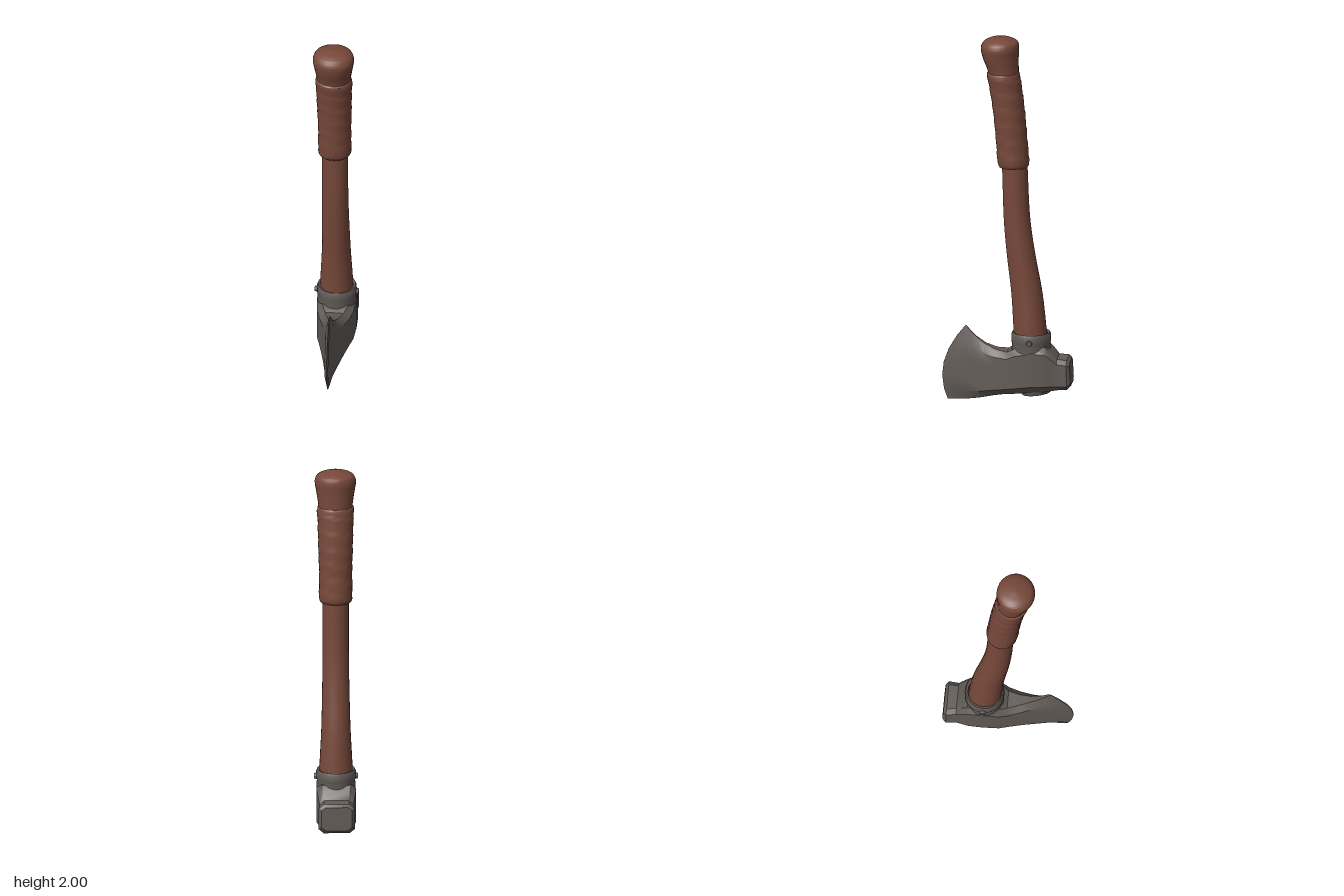
import * as THREE from 'three';
import { mergeVertices, toCreasedNormals } from 'three/addons/utils/BufferGeometryUtils.js';

// Skin a list of closed rings (counter-clockwise seen from the far end), with end caps
function loft(rings, crease) {
  const n = rings[0].length, pos = [], idx = [];
  rings.forEach(r => r.forEach(p => pos.push(...p)));
  for (let i = 0; i < rings.length - 1; i++) {
    for (let j = 0; j < n; j++) {
      const a = i * n + j, b = i * n + (j + 1) % n;
      idx.push(a, b, b + n, a, b + n, a + n);
    }
  }
  [0, rings.length - 1].forEach(k => {
    const c = pos.length / 3;
    pos.push(...[0, 1, 2].map(d => rings[k].reduce((s, p) => s + p[d], 0) / n));
    for (let j = 0; j < n; j++) {
      const a = k * n + j, b = k * n + (j + 1) % n;
      idx.push(c, ...(k ? [a, b] : [b, a]));
    }
  });
  const g = new THREE.BufferGeometry();
  g.setAttribute('position', new THREE.Float32BufferAttribute(pos, 3));
  g.setIndex(idx);
  return toCreasedNormals(mergeVertices(g), crease);
}

// Oval shaft from stations [y, front z, back z, half width]; ridge(angle, y) scales the radius
function shaft(stations, steps, ridge = () => 1, sides = 28) {
  const mid = new THREE.CatmullRomCurve3(
    stations.map(s => new THREE.Vector3(s[0], (s[1] + s[2]) / 2, 0)));
  const size = new THREE.CatmullRomCurve3(
    stations.map(s => new THREE.Vector3(s[0], (s[1] - s[2]) / 2, s[3])));
  const rings = [];
  for (let i = 0; i <= steps; i++) {
    const m = mid.getPoint(i / steps), r = size.getPoint(i / steps), ring = [];
    for (let j = 0; j < sides; j++) {
      const a = j / sides * Math.PI * 2, k = ridge(a, m.x);
      ring.push([Math.cos(a) * r.z * k, m.x, m.y - Math.sin(a) * r.y * k]);
    }
    rings.push(ring);
  }
  return loft(rings, 0.8);
}

// Head stations: [bottom z, bottom y, top z, top y, half width, forward bulge, edge narrowing]
const HEAD = [
  [-0.345, 0.105, -0.338, 0.232, 0.082, 0, 0.72],
  [-0.325, 0.085, -0.322, 0.245, 0.096, 0, 0.72],
  [-0.27, 0.08, -0.27, 0.25, 0.09, 0, 0.72],
  [-0.235, 0.075, -0.24, 0.285, 0.097, 0, 0.75],
  [-0.2, 0.07, -0.21, 0.315, 0.104, 0, 0.75],
  [-0.125, 0.065, -0.125, 0.32, 0.105, 0, 0.75],
  [-0.04, 0.055, -0.04, 0.3, 0.098, 0, 0.7],
  [0.01, 0.048, 0, 0.278, 0.082, 0, 0.6],
  [0.08, 0.033, 0.06, 0.286, 0.061, 0.005, 0.5],
  [0.15, 0.016, 0.12, 0.312, 0.043, 0.012, 0.4],
  [0.22, 0.006, 0.17, 0.349, 0.028, 0.028, 0.35],
  [0.28, 0.003, 0.205, 0.386, 0.019, 0.05, 0.35],
  [0.322, 0, 0.225, 0.41, 0.003, 0.07, 0.5],
];

function headGeometry() {
  const levels = [0, 0.14, 0.32, 0.5, 0.68, 0.86, 1];
  const rings = HEAD.map(([zb, yb, zt, yt, w, bulge, f]) => {
    const side = levels.map(t => [
      w * (t === 0 || t === 1 ? f : 1),
      yb + (yt - yb) * t,
      zb + (zt - zb) * t + bulge * 4 * t * (1 - t),
    ]);
    return [...side, ...side.slice().reverse().map(([x, y, z]) => [-x, y, z])];
  });
  return loft(rings, 0.55);
}

export function createModel() {
  const group = new THREE.Group();
  const wood = new THREE.MeshStandardMaterial({ color: 0x77483a });
  wood.name = 'brown wood';
  const iron = new THREE.MeshStandardMaterial({ color: 0x625b57 });
  iron.name = 'grey iron';
  const add = (name, geometry, material) => {
    const mesh = new THREE.Mesh(geometry, material);
    mesh.name = name;
    group.add(mesh);
    return mesh;
  };

  // Curved wooden handle
  add('handle', shaft([
    [0.3, -0.035, -0.215, 0.09], [0.4, -0.03, -0.207, 0.088], [0.6, -0.018, -0.185, 0.078],
    [0.8, 0.005, -0.148, 0.073], [1, 0.022, -0.12, 0.07], [1.3, 0.032, -0.105, 0.07],
    [1.4, 0.04, -0.1, 0.07],
  ], 28), wood);

  // Wrapped grip with shallow spiral overlaps
  const spiral = (a, y) => {
    const turn = y / 0.085 + a / (Math.PI * 2);
    return 0.985 + 0.035 * (turn - Math.floor(turn));
  };
  add('gripWrap', shaft([
    [1.29, 0.045, -0.105, 0.082], [1.3, 0.052, -0.112, 0.087], [1.45, 0.065, -0.103, 0.088],
    [1.6, 0.08, -0.09, 0.092], [1.72, 0.098, -0.075, 0.095], [1.8, 0.111, -0.062, 0.097],
    [1.81, 0.103, -0.055, 0.09],
  ], 60, spiral), wood);

  // Flared knob
  add('knob', shaft([
    [1.78, 0.1, -0.058, 0.09], [1.82, 0.108, -0.058, 0.092], [1.89, 0.135, -0.058, 0.103],
    [1.945, 0.145, -0.06, 0.11], [1.975, 0.13, -0.052, 0.098], [1.992, 0.095, -0.015, 0.065],
    [2, 0.055, 0.025, 0.02],
  ], 30), wood);

  // Head: poll, cheeks and curved blade
  add('axeHead', headGeometry(), iron);

  // Collar around the handle
  const collar = new THREE.LatheGeometry([
    [0.1, 0.25], [0.105, 0.29], [0.102, 0.32], [0.106, 0.335], [0.106, 0.37],
    [0.1, 0.384], [0.088, 0.38], [0.085, 0.33],
  ].map(p => new THREE.Vector2(...p)), 32);
  add('collar', toCreasedNormals(collar, 0.8), iron).position.z = -0.125;

  // Rivet on each side of the collar
  for (const s of [-1, 1]) {
    const rivet = add('rivet', new THREE.CylinderGeometry(0.014, 0.02, 0.028, 10), iron);
    rivet.rotation.z = -s * Math.PI / 2;
    rivet.position.set(s * 0.104, 0.342, -0.125);
  }

  // Raised rim under the eye
  const rim = new THREE.CylinderGeometry(0.085, 0.075, 0.035, 20);
  const rimMesh = add('eyeRim', toCreasedNormals(rim, 0.8), iron);
  rimMesh.position.set(0, 0.064, -0.15);
  rimMesh.rotation.x = 0.11;
  return group;
}
